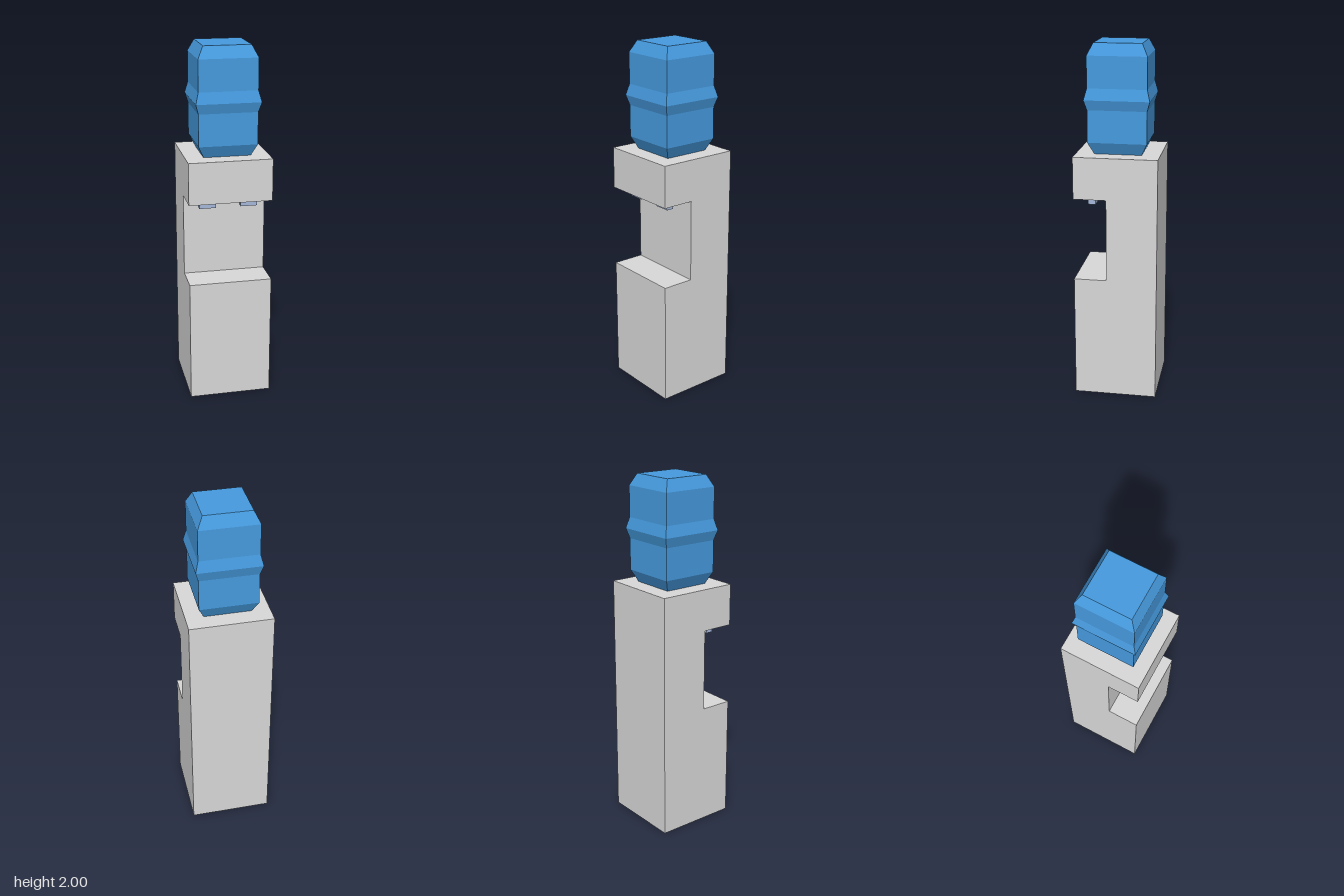
import * as THREE from 'three';

const bodyGrey = new THREE.MeshStandardMaterial({ name: 'bodyGrey', color: 0xd8d8d8 });
const bottleBlue = new THREE.MeshStandardMaterial({ name: 'bottleBlue', color: 0x469ade });
const tapBlue = new THREE.MeshStandardMaterial({ name: 'tapBlue', color: 0xa6b9da });

function addMesh(group, name, geometry, material) {
  const mesh = new THREE.Mesh(geometry, material);
  mesh.name = name;
  group.add(mesh);
  return mesh;
}

export function createModel() {
  const group = new THREE.Group();
  group.name = 'waterDispenser';
  const half = 0.232;

  // Cabinet: side outline (z, y) with the cup recess, extruded across the width
  const outline = [
    [-half, 0], [half, 0], [half, 0.7], [0.05, 0.7],
    [0.05, 1.165], [half, 1.165], [half, 1.4], [-half, 1.4],
  ];
  const side = new THREE.Shape(outline.map(([z, y]) => new THREE.Vector2(z, y)));
  const cabinet = new THREE.ExtrudeGeometry(side, { depth: half * 2, bevelEnabled: false });
  cabinet.translate(0, 0, -half).rotateY(-Math.PI / 2);
  addMesh(group, 'cabinet', cabinet, bodyGrey);

  // Square bottle: four-sided lathe with chamfered ends and a middle ridge
  const profile = [
    [0, 1.4], [0.131, 1.4], [0.163, 1.467], [0.163, 1.645], [0.179, 1.7],
    [0.163, 1.762], [0.163, 1.935], [0.131, 2], [0, 2],
  ].map(([r, y]) => new THREE.Vector2(r * Math.SQRT2, y));
  const bottle = new THREE.LatheGeometry(profile, 4, Math.PI / 4).toNonIndexed();
  bottle.computeVertexNormals();
  addMesh(group, 'bottle', bottle, bottleBlue);

  // Pair of taps hanging under the overhang
  for (const [name, sign] of [['leftTap', 1], ['rightTap', -1]]) {
    const tap = addMesh(group, name, new THREE.BoxGeometry(0.093, 0.045, 0.043), tapBlue);
    tap.position.set(sign * 0.116, 1.1425, 0.141);
  }

  return group;
}
